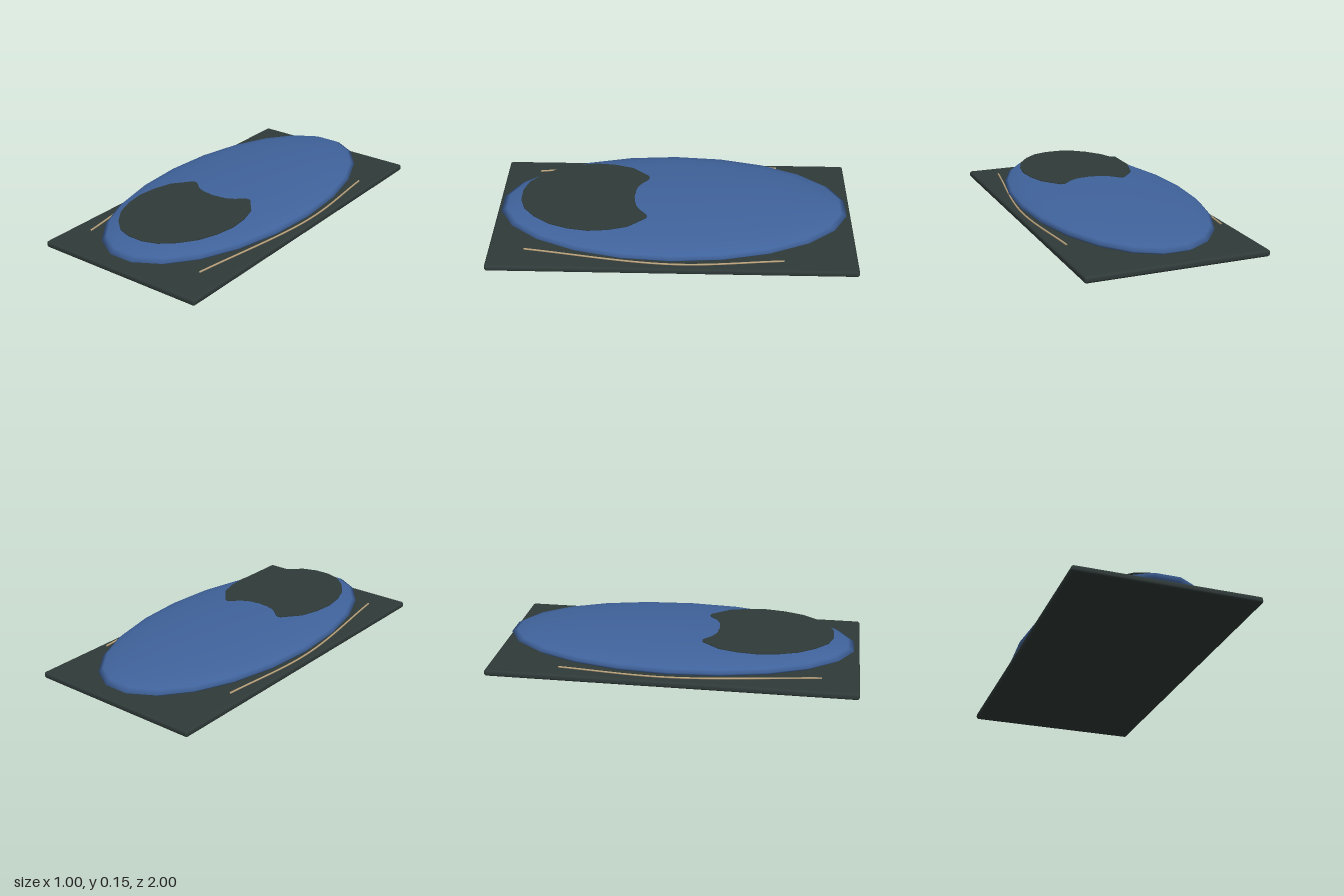
import * as THREE from 'three';
import { RoundedBoxGeometry } from 'three/addons/geometries/RoundedBoxGeometry.js';

const material = (color) => new THREE.MeshStandardMaterial({ color });

export function createModel() {
  const model = new THREE.Group();
  const dark = material(0x2f3a38), blue = material(0x40639c), tan = material(0xb8a07a);

  const add = (name, geometry, mat) => {
    const mesh = new THREE.Mesh(geometry, mat);
    mesh.name = name;
    model.add(mesh);
    return mesh;
  };

  // Flat rounded ground mat
  add('baseMat', new RoundedBoxGeometry(1, 0.036, 2, 3, 0.014), dark).position.y = 0.018;

  // Shallow oval dome
  const body = new THREE.SphereGeometry(1, 22, 12);
  body.scale(0.488, 0.067, 0.975);
  add('ovalBody', body, blue).position.y = 0.085;

  // Thin opening panel with a notched edge, mirrored from half an outline
  const half = [
    [0.05, 0.215], [0.09, 0.205], [0.125, 0.185], [0.165, 0.15], [0.18, 0.143], [0.2, 0.146],
    [0.28, 0.245], [0.31, 0.35], [0.32, 0.455], [0.303, 0.565],
    [0.265, 0.67], [0.2, 0.76], [0.125, 0.825], [0.045, 0.852],
  ];
  const outline = [...half, ...half.map(([x, z]) => [-x, z]).reverse()];
  const panel = new THREE.ExtrudeGeometry(
    new THREE.Shape(outline.map(([x, z]) => new THREE.Vector2(x, -z))),
    { depth: 0.004, bevelEnabled: false });
  panel.rotateX(-Math.PI / 2);
  add('openingPanel', panel, dark).position.y = 0.146;

  // Curved cords along both sides
  for (const [name, s] of [['leftCord', 1], ['rightCord', -1]]) {
    const path = new THREE.CatmullRomCurve3(
      [[0.37, 0.8], [0.48, 0], [0.437, -0.6]].map(([x, z]) => new THREE.Vector3(s * x, 0.055, z)));
    add(name, new THREE.TubeGeometry(path, 24, 0.005, 8), tan);
  }

  return model;
}
